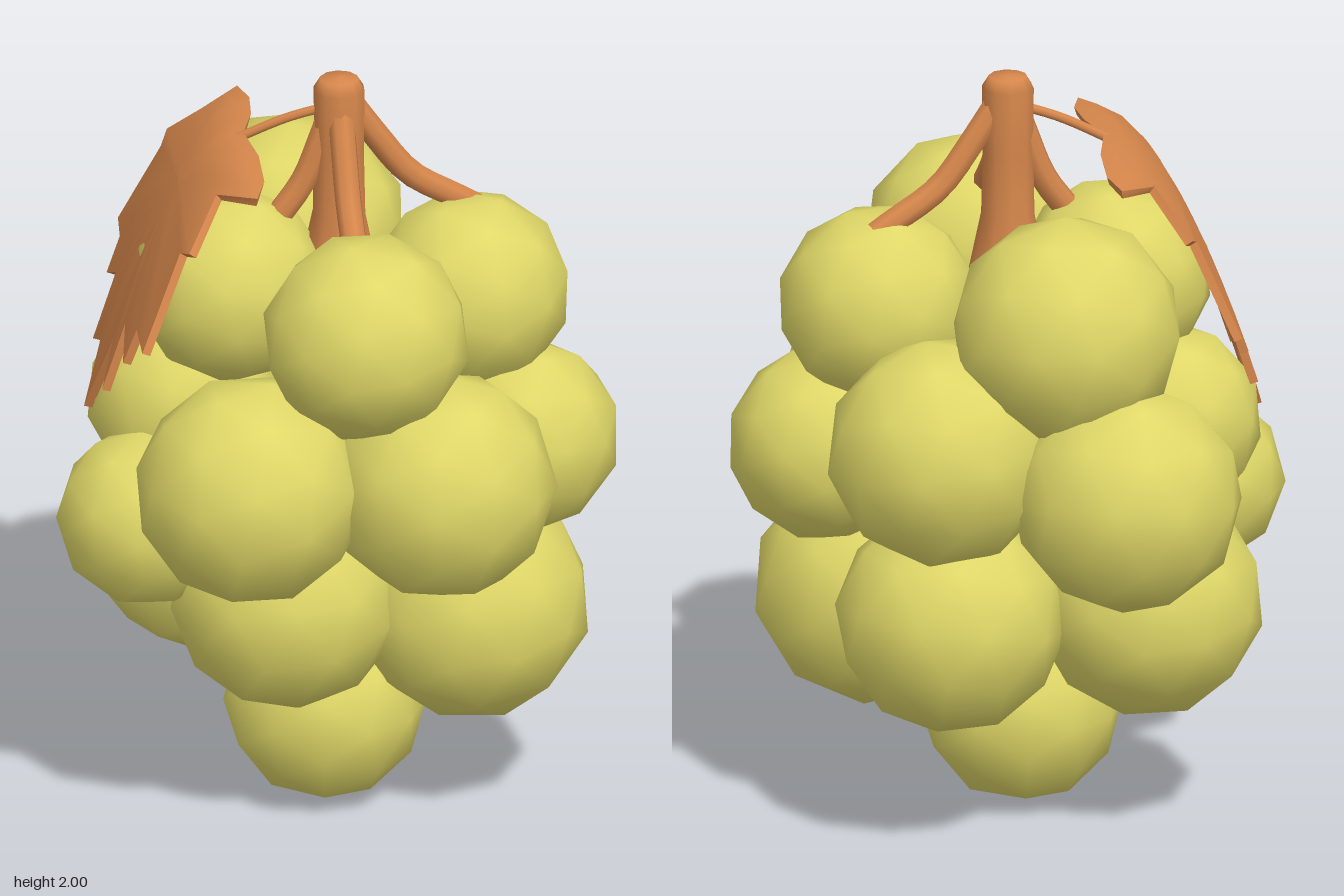
import * as THREE from 'three';

const grapeSkin = new THREE.MeshStandardMaterial({ color: 0xe0d868 });
grapeSkin.name = 'grapeYellowGreen';
const wood = new THREE.MeshStandardMaterial({ color: 0xd5864b });
wood.name = 'woodBrown';

// x, y, z, radius
const GRAPES = [
  // bottom tip
  [0.02, 0.265, 0.02, 0.26],
  // lower ring
  [0.015, 0.625, 0.2, 0.3], [0.38, 0.575, -0.12, 0.31],
  [-0.375, 0.62, -0.03, 0.3], [0.02, 0.62, -0.38, 0.3],
  // middle ring
  [0.055, 1.015, 0.44, 0.3], [0.45, 1.01, 0.145, 0.3],
  [0.44, 1.0, -0.27, 0.255], [0.015, 1.09, -0.44, 0.3],
  [-0.455, 1.0, -0.31, 0.3], [-0.35, 1.07, 0.12, 0.25],
  [-0.31, 0.83, 0.36, 0.235],
  // upper ring
  [0.29, 1.43, 0.255, 0.27], [0.305, 1.39, -0.235, 0.26],
  [-0.265, 1.42, -0.28, 0.3], [-0.19, 1.43, 0.14, 0.255],
];

// Leaf plan: u runs across the leaf, o runs outward from the stalk
const LEAF_HALF = [
  [0, 0], [0.14, -0.03], [0.28, -0.035], [0.375, -0.01], [0.285, 0.09],
  [0.415, 0.17], [0.355, 0.19], [0.45, 0.295], [0.31, 0.3], [0.3, 0.335],
  [0.17, 0.32], [0.17, 0.38], [0.1, 0.345], [0, 0.415],
];
const LEAF_CENTRE = [0, 0.17];
const LEAF_BASE = new THREE.Vector3(-0.19, 1.835, 0.08);
const ACROSS = new THREE.Vector3(0.58, 0, 0.81);
const OUTWARD = new THREE.Vector3(-0.81, 0, 0.58);
const UP = new THREE.Vector3(0, 1, 0);

// Point on the drooping leaf surface, pushed in along its normal by depth
function leafPoint(u, o, depth) {
  const normal = UP.clone().addScaledVector(ACROSS, 0.4 * u)
    .addScaledVector(OUTWARD, 8.8 * o).normalize();
  return LEAF_BASE.clone()
    .addScaledVector(ACROSS, u)
    .addScaledVector(OUTWARD, o)
    .addScaledVector(UP, -4.4 * o * o - 0.2 * u * u)
    .addScaledVector(normal, -depth);
}

function leafGeometry(thickness) {
  const mirrored = LEAF_HALF.slice(1, -1).reverse().map(([u, o]) => [-u, o]);
  const outline = [...LEAF_HALF, ...mirrored];
  const n = outline.length, rings = 5;
  const pos = [], index = [];
  const push = (p) => pos.push(p.x, p.y, p.z);

  // upper and lower skins, in rings around the centre
  for (const depth of [0, thickness]) {
    const start = pos.length / 3;
    for (let r = 0; r <= rings; r++) {
      for (const [u, o] of outline) {
        const f = r / rings;
        push(leafPoint(u * f, LEAF_CENTRE[1] + (o - LEAF_CENTRE[1]) * f, depth));
      }
    }
    for (let r = 0; r < rings; r++) {
      for (let i = 0; i < n; i++) {
        const j = (i + 1) % n;
        const a = start + r * n + i, b = start + r * n + j, c = a + n, d = b + n;
        const tris = r ? [[a, d, c], [a, b, d]] : [[a, d, c]];
        for (const [p, q, s] of tris) {
          if (depth === 0) index.push(p, q, s);
          else index.push(p, s, q);
        }
      }
    }
  }

  // rim
  for (let i = 0; i < n; i++) {
    const k = pos.length / 3, a = outline[i], b = outline[(i + 1) % n];
    push(leafPoint(...a, 0));
    push(leafPoint(...b, 0));
    push(leafPoint(...b, thickness));
    push(leafPoint(...a, thickness));
    index.push(k, k + 1, k + 2, k, k + 2, k + 3);
  }

  const geo = new THREE.BufferGeometry();
  geo.setAttribute('position', new THREE.Float32BufferAttribute(pos, 3));
  geo.setIndex(index);
  geo.computeVertexNormals();
  return geo;
}

function add(parent, name, geometry, material) {
  const mesh = new THREE.Mesh(geometry, material);
  mesh.name = name;
  parent.add(mesh);
  return mesh;
}

function tube(points, radius) {
  const curve = new THREE.CatmullRomCurve3(points.map((p) => new THREE.Vector3(...p)));
  return new THREE.TubeGeometry(curve, 10, radius, 8, false);
}

export function createModel() {
  const model = new THREE.Group();
  model.name = 'grapeBunch';

  // grapes: coarse round balls, each turned differently
  const grapes = new THREE.Group();
  grapes.name = 'grapes';
  model.add(grapes);
  GRAPES.forEach(([x, y, z, r], i) => {
    const grape = add(grapes, `grape${i + 1}`, new THREE.IcosahedronGeometry(r * 1.01, 1), grapeSkin);
    grape.position.set(x, y, z);
    grape.rotation.set(i * 1.3, i * 2.1, i * 0.7);
  });

  // main stem, flared at the foot with a rounded top
  const profile = [[0.12, 1.38], [0.095, 1.5], [0.07, 1.62], [0.066, 1.8], [0.068, 1.965], [0.05, 1.995], [0, 2]]
    .map(([r, y]) => new THREE.Vector2(r, y));
  const stem = add(model, 'stem', new THREE.LatheGeometry(profile, 10), wood);
  stem.position.set(0.03, 0, -0.035);

  // side branches curving down into the grapes
  const ends = [[0.25, 1.63, -0.26], [0.19, 1.62, 0.15], [-0.09, 1.62, 0.07]];
  ends.forEach(([x, y, z], i) => {
    const at = (f, h) => [0.03 + (x - 0.03) * f, h, -0.035 + (z + 0.035) * f];
    add(model, `branch${i + 1}`,
      tube([at(0.1, 1.92), at(0.3, 1.83), at(0.6, 1.71), at(1, y), at(1.15, y - 0.03)], 0.035), wood);
  });

  // leaf and its stalk
  add(model, 'leafStalk', tube([[0.02, 1.92, -0.03], [-0.09, 1.88, 0.03], [-0.22, 1.81, 0.1]], 0.013), wood);
  add(model, 'leaf', leafGeometry(0.022), wood);

  return model;
}
